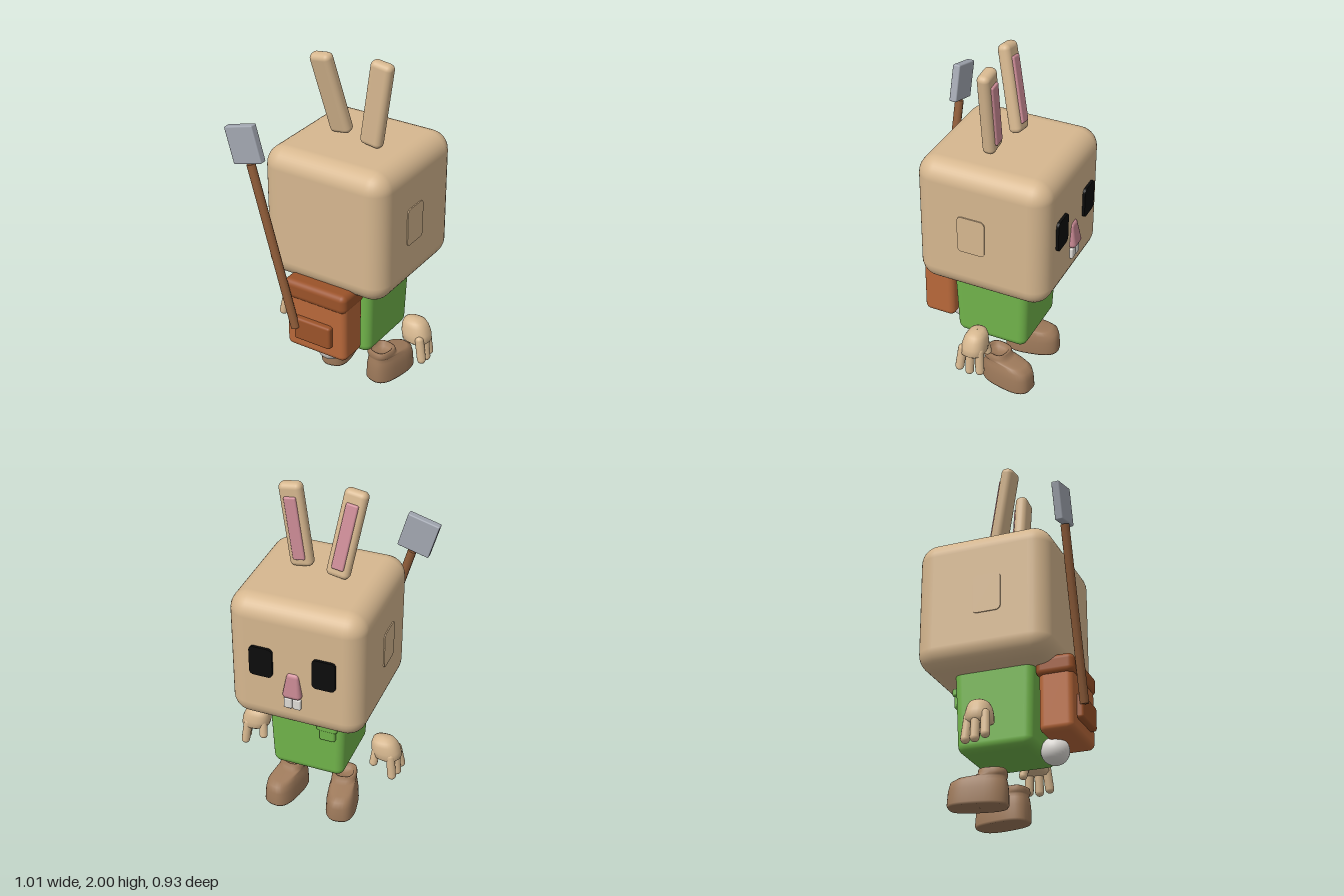
import * as THREE from 'three';
import { RoundedBoxGeometry } from 'three/addons/geometries/RoundedBoxGeometry.js';

const MID = 0.006; // symmetry plane

export function createModel() {
  const root = new THREE.Group();
  const mat = (name, color) => {
    const m = new THREE.MeshStandardMaterial({ color });
    m.name = name;
    return m;
  };
  const fur = mat('tan fur', 0xd6b78f);
  const green = mat('green shirt', 0x70b34a);
  const leather = mat('pack leather', 0xb8683a);
  const flapLeather = mat('dark leather', 0x9a5229);
  const wood = mat('handle wood', 0x8f5c38);
  const metal = mat('grey metal', 0xa2a7b1);
  const pink = mat('pink', 0xcd8c97);
  const black = mat('black', 0x0c0c0c);
  const boot = mat('boot brown', 0x9e7a5b);
  const white = mat('white', 0xdedbd6);

  const add = (name, geo, material, x = 0, y = 0, z = 0, parent = root) => {
    const m = new THREE.Mesh(geo, material);
    m.name = name;
    m.position.set(x, y, z);
    parent.add(m);
    return m;
  };
  const box = (w, h, d, r) => new RoundedBoxGeometry(w, h, d, 4, r);

  // Scales x and z linearly from bottom to top
  const taper = (geo, h, bottom, top) => {
    const p = geo.attributes.position;
    for (let i = 0; i < p.count; i++) {
      const t = p.getY(i) / h + 0.5;
      p.setX(i, p.getX(i) * THREE.MathUtils.lerp(bottom[0], top[0], t));
      p.setZ(i, p.getZ(i) * THREE.MathUtils.lerp(bottom[1], top[1], t));
    }
    return geo;
  };

  // Flat plate with rounded corners, centred
  const plate = (w, h, d, r) => {
    const s = new THREE.Shape();
    const corners = [[1, -1, -90], [1, 1, 0], [-1, 1, 90], [-1, -1, 180]];
    for (const [sx, sy, a] of corners) {
      const a0 = THREE.MathUtils.degToRad(a);
      s.absarc(sx * (w / 2 - r), sy * (h / 2 - r), r, a0, a0 + Math.PI / 2, false);
    }
    return new THREE.ExtrudeGeometry(s, { depth: d, bevelEnabled: false, curveSegments: 5 }).translate(0, 0, -d / 2);
  };

  // Skin over horizontal superellipse rings [y, cx, cz, hx, hz]
  const loft = (rings, power = 1, n = 28) => {
    const pos = [], idx = [];
    const curve = (v) => Math.sign(v) * Math.abs(v) ** power;
    for (const [y, cx, cz, hx, hz] of rings) {
      for (let i = 0; i < n; i++) {
        const a = (i / n) * Math.PI * 2;
        pos.push(cx + hx * curve(Math.cos(a)), y, cz + hz * curve(Math.sin(a)));
      }
    }
    for (let j = 0; j < rings.length - 1; j++) {
      for (let i = 0; i < n; i++) {
        const a = j * n + i, b = j * n + ((i + 1) % n);
        idx.push(a, a + n, b + n, a, b + n, b);
      }
    }
    const g = new THREE.BufferGeometry();
    g.setAttribute('position', new THREE.Float32BufferAttribute(pos, 3));
    g.setIndex(idx);
    g.computeVertexNormals();
    return g;
  };

  // Capsule between two points
  const finger = (a, b, r, parent, name) => {
    const p = new THREE.Vector3(...a), q = new THREE.Vector3(...b);
    const d = q.clone().sub(p);
    const c = p.clone().add(q).multiplyScalar(0.5);
    const m = add(name, new THREE.CapsuleGeometry(r, d.length(), 6, 14), fur, c.x, c.y, c.z, parent);
    m.quaternion.setFromUnitVectors(new THREE.Vector3(0, 1, 0), d.normalize());
  };

  // Head and face
  add('head', box(0.768, 0.77, 0.77, 0.11), fur, MID, 1.125, -0.045);
  for (const s of [-1, 1]) {
    add('eye', plate(0.132, 0.18, 0.03, 0.025), black, MID + s * 0.178, 1.15, -0.43);
    add('tooth', box(0.046, 0.066, 0.04, 0.008), white, MID + s * 0.025, 0.922, -0.428);
    add('sidePanel', plate(0.16, 0.22, 0.02, 0.025), fur, MID + s * 0.38, 1.12, -0.003).rotation.y = Math.PI / 2;
  }
  add('nose', taper(box(0.115, 0.15, 0.09, 0.025), 0.15, [1, 1], [0.55, 0.3]), pink, MID, 1.035, -0.422);

  // Ears, one leaning back
  const ears = [['leftEar', 0.15, 0, -0.14], ['rightEar', -0.135, 0.225, 0.14]];
  for (const [name, x, rx, rz] of ears) {
    const ear = new THREE.Group();
    ear.name = name;
    ear.position.set(x, 1.755, 0);
    ear.rotation.set(rx, 0, rz);
    root.add(ear);
    add('earShell', box(0.13, 0.49, 0.072, 0.03), fur, 0, 0, 0, ear);
    add('innerEar', box(0.07, 0.37, 0.024, 0.01), pink, 0, -0.01, -0.036, ear);
  }

  // Shirt, neckline and chest pocket
  add('body', taper(box(0.46, 0.5, 0.46, 0.05), 0.5, [0.92, 0.92], [1, 1]), green, MID, 0.55, -0.03);
  add('neckline', new THREE.CylinderGeometry(0.07, 0.07, 0.012, 28), fur, MID, 0.755, -0.257).rotation.x = Math.PI / 2;
  add('chestPocket', box(0.095, 0.1, 0.04, 0.015), green, -0.125, 0.622, -0.255);
  add('chestPocketFlap', box(0.12, 0.045, 0.05, 0.012), green, -0.125, 0.662, -0.255);

  // Tail
  add('tail', new THREE.SphereGeometry(0.078, 28, 18), white, MID, 0.322, 0.238);

  // Backpack
  add('backpack', box(0.385, 0.38, 0.19, 0.035), leather, 0.01, 0.555, 0.307);
  add('backpackFlap', box(0.405, 0.115, 0.215, 0.035), flapLeather, 0.006, 0.735, 0.305);
  add('backpackPocket', box(0.235, 0.138, 0.06, 0.015), flapLeather, 0.008, 0.514, 0.406);

  // Shovel
  const shovel = new THREE.Group();
  shovel.name = 'shovel';
  shovel.position.set(-0.225, 0.99, 0.439);
  shovel.rotation.z = 0.272;
  root.add(shovel);
  add('handle', new THREE.CylinderGeometry(0.025, 0.025, 0.97, 10), wood, 0, 0, 0, shovel);
  add('blade', box(0.188, 0.213, 0.045, 0.008), metal, -0.005, 0.598, 0, shovel);

  // Hands and boots, mirrored
  const palm = loft([
    [0.36, 0.42, -0.025, 0.001, 0.001], [0.36, 0.42, -0.025, 0.05, 0.055],
    [0.38, 0.408, -0.025, 0.082, 0.072], [0.42, 0.4, -0.028, 0.084, 0.07],
    [0.46, 0.392, -0.03, 0.076, 0.062], [0.485, 0.386, -0.032, 0.063, 0.05],
    [0.498, 0.383, -0.032, 0.04, 0.03], [0.501, 0.383, -0.032, 0.001, 0.001],
  ], 0.85);
  const bootShape = loft([
    [0, 0, 0, 0.001, 0.001], [0, 0, -0.01, 0.084, 0.155],
    [0.012, 0, -0.01, 0.09, 0.162], [0.09, 0, -0.008, 0.086, 0.158],
    [0.132, 0, -0.005, 0.079, 0.15], [0.152, 0, 0.01, 0.07, 0.13],
    [0.16, 0, 0.055, 0.072, 0.085], [0.175, 0, 0.067, 0.073, 0.077],
    [0.196, 0, 0.067, 0.07, 0.074], [0.2, 0, 0.067, 0.062, 0.066],
    [0.196, 0, 0.067, 0.052, 0.056], [0.17, 0, 0.067, 0.048, 0.05],
    [0.17, 0, 0.067, 0.001, 0.001],
  ], 0.72, 36);
  for (const s of [1, -1]) {
    const side = new THREE.Group();
    side.name = s > 0 ? 'leftLimbs' : 'rightLimbs';
    side.position.x = MID;
    side.scale.x = s;
    root.add(side);
    add('palm', palm, fur, 0, 0, 0, side);
    finger([0.45, 0.4, 0.025], [0.472, 0.285, 0.034], 0.025, side, 'finger');
    finger([0.455, 0.4, -0.025], [0.468, 0.272, -0.025], 0.025, side, 'finger');
    finger([0.44, 0.4, -0.072], [0.455, 0.275, -0.082], 0.025, side, 'finger');
    finger([0.35, 0.41, -0.06], [0.342, 0.335, -0.075], 0.024, side, 'thumb');
    add('boot', bootShape, boot, 0.172, 0, -0.117, side).rotation.y = -0.2;
  }
  return root;
}
